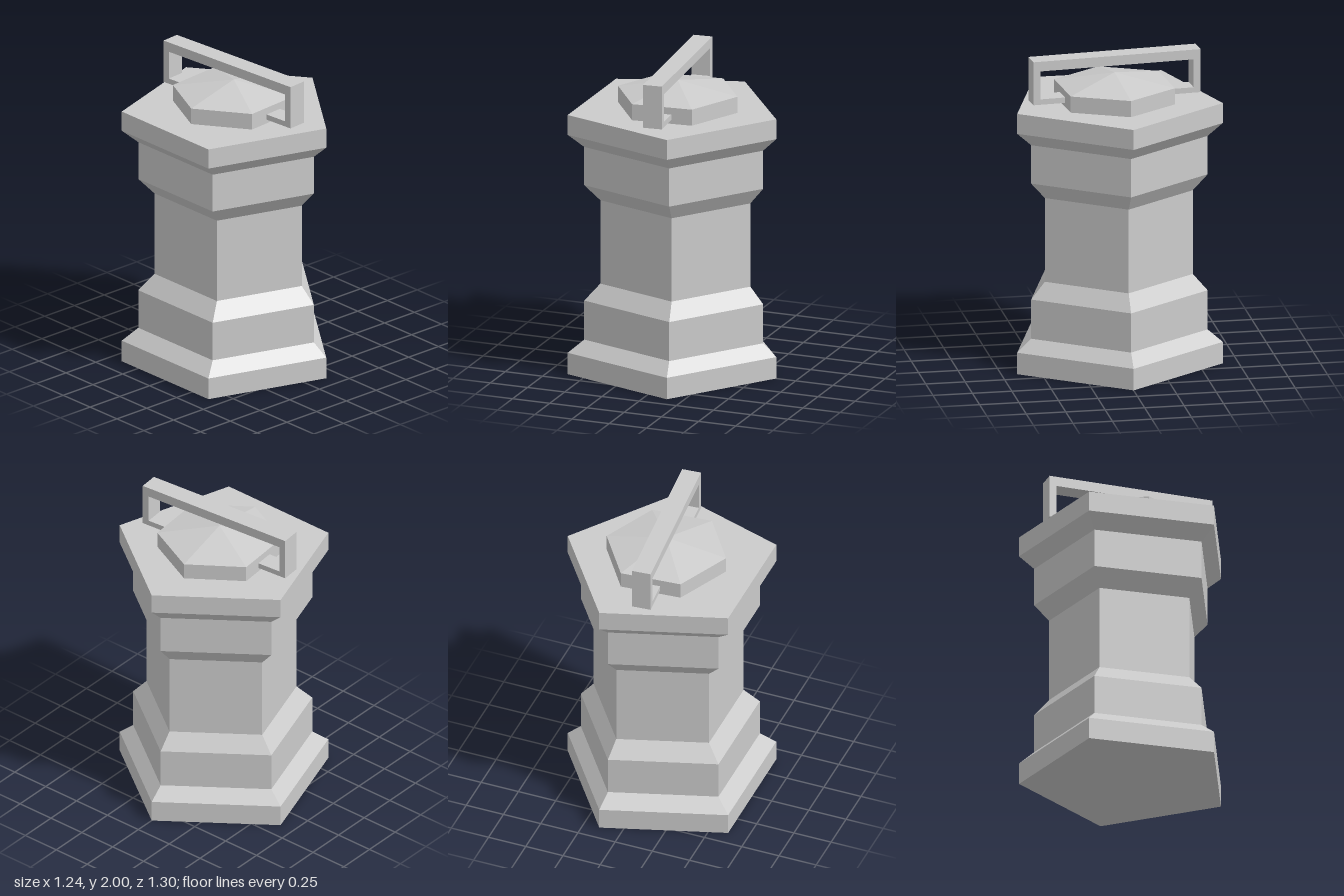
import * as THREE from 'three';

const material = new THREE.MeshStandardMaterial({ color: 0xcccccc, flatShading: true });

function addMesh(parent, name, geometry) {
  const mesh = new THREE.Mesh(geometry, material);
  mesh.name = name;
  parent.add(mesh);
  return mesh;
}

// Faceted solid from a radius/height profile, with one corner on +x
function prism(profile, sides) {
  const points = profile.map(([r, y]) => new THREE.Vector2(r, y));
  return new THREE.LatheGeometry(points, sides, Math.PI / 2);
}

export function createModel() {
  const model = new THREE.Group();
  model.name = 'lantern';

  // Five-sided stepped body; each ring is scaled about x = 0
  const body = prism([
    [0, 0], [0.685, 0], [0.685, 0.14], [0.588, 0.22], [0.588, 0.475],
    [0.493, 0.58], [0.493, 1.125], [0.588, 1.23], [0.588, 1.48],
    [0.685, 1.565], [0.685, 1.695], [0, 1.695],
  ], 5);
  const pos = body.attributes.position;
  for (let i = 0; i < pos.count; i++) {
    const r = Math.hypot(pos.getX(i), pos.getZ(i));
    pos.setX(i, pos.getX(i) - 0.0955 * r);
  }
  body.computeVertexNormals();
  addMesh(model, 'body', body);

  // Lid and handle share a slight turn
  const top = new THREE.Group();
  top.name = 'top';
  top.position.x = -0.043;
  top.rotation.y = 0.087;
  model.add(top);

  // Six-sided lid with a shallow point
  addMesh(top, 'lid', prism([[0, 1.69], [0.389, 1.69], [0.389, 1.8], [0, 1.875]], 6));

  // Flat strap handle: a C-shaped outline with feet turned in to the lid
  const half = [[0.325, 1.72], [0.54, 1.72], [0.54, 2]];
  const inner = [[0.495, 1.937], [0.495, 1.755], [0.325, 1.755]];
  const mirror = (list) => list.map(([z, y]) => [-z, y]).reverse();
  const outline = [...half, ...mirror(half), ...mirror(inner), ...inner];
  const shape = new THREE.Shape(outline.map(([z, y]) => new THREE.Vector2(z, y)));
  const strap = new THREE.ExtrudeGeometry(shape, { depth: 0.122, bevelEnabled: false });
  strap.translate(0, 0, -0.061);
  strap.rotateY(Math.PI / 2);
  addMesh(top, 'handle', strap);

  return model;
}
